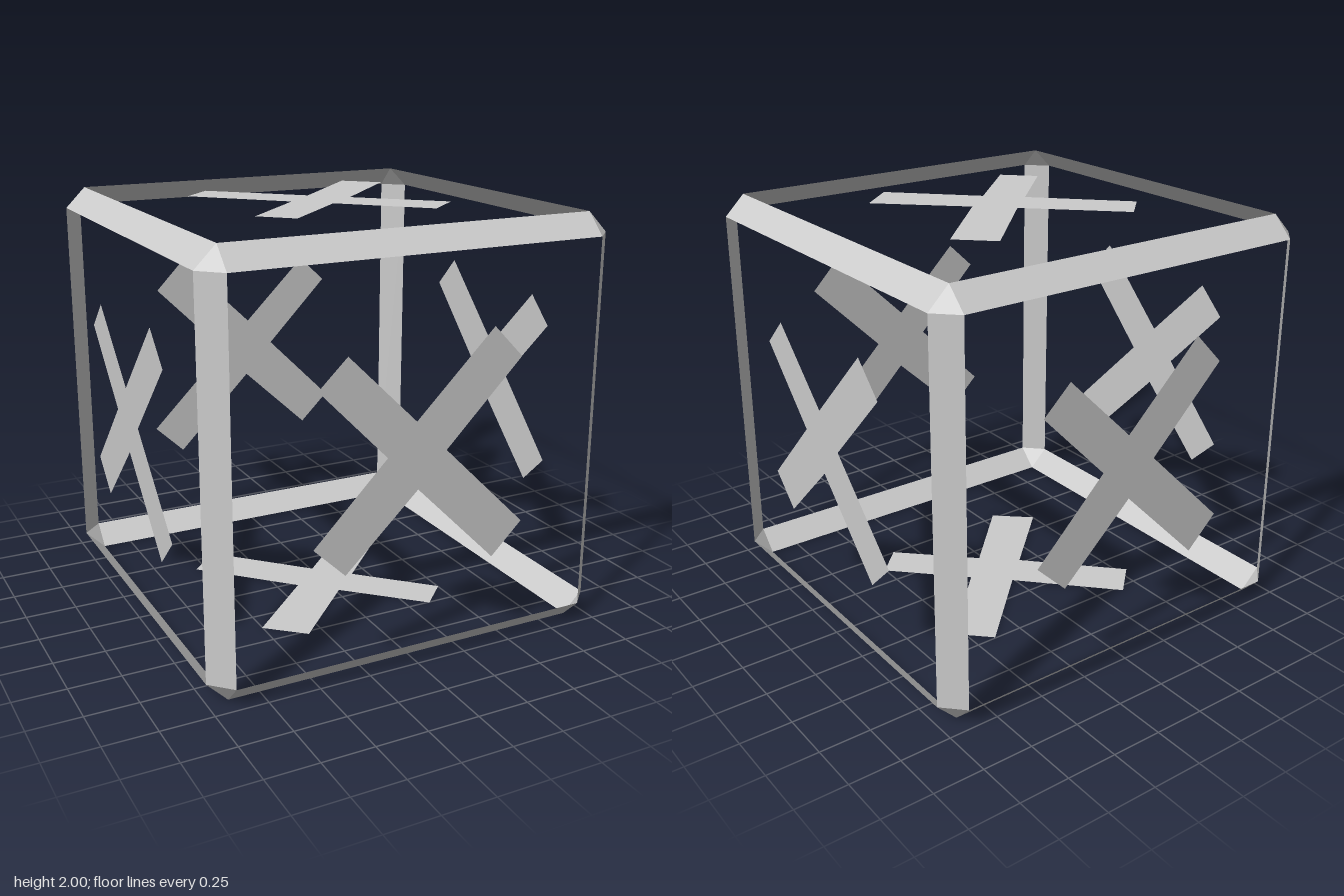
import * as THREE from 'three';

const material = new THREE.MeshStandardMaterial({
  color: 0xcccccc, flatShading: true, side: THREE.DoubleSide,
});

const HALF = 1;       // half size of the cube
const INNER = 0.9;    // half size of each face opening

// Flat, slightly uneven crosses: two end corners per arm, then the notch to the next arm
const sideCross = [
  [0.497, 0.4], [0.348, 0.553], [-0.037, 0.174],
  [-0.374, 0.505], [-0.513, 0.372], [-0.178, 0.03],
  [-0.535, -0.329], [-0.38, -0.479], [-0.023, -0.141],
  [0.38, -0.543], [0.535, -0.393], [0.118, 0.02],
];
const capCross = [
  [0.551, 0.388], [0.396, 0.537], [-0.01, 0.117],
  [-0.396, 0.495], [-0.545, 0.35], [-0.17, -0.035],
  [-0.503, -0.366], [-0.364, -0.505], [-0.02, -0.174],
  [0.326, -0.527], [0.503, -0.371], [0.145, -0.028],
];

function crossGeometry(points) {
  const shape = new THREE.Shape(points.map(([x, y]) => new THREE.Vector2(x, y)));
  return new THREE.ShapeGeometry(shape).translate(0, 0, HALF);
}

function addMesh(parent, geometry, name) {
  const mesh = new THREE.Mesh(geometry, material);
  mesh.name = name;
  parent.add(mesh);
  return mesh;
}

export function createModel() {
  const model = new THREE.Group();
  model.name = 'cubeFrameWithCrosses';
  const body = new THREE.Group();
  body.name = 'body';
  body.position.y = HALF;
  model.add(body);

  // Twelve bevelled edge strips: four around each axis
  const middle = (HALF + INNER) / 2;
  const strip = new THREE.PlaneGeometry(2 * INNER, (HALF - INNER) * Math.SQRT2)
    .rotateX(-Math.PI / 4).translate(0, middle, middle);
  const turns = { x: [0, 0, 0], y: [0, 0, Math.PI / 2], z: [0, Math.PI / 2, 0] };
  for (const [axis, turn] of Object.entries(turns)) {
    const edges = new THREE.Group();
    edges.name = `${axis}Edges`;
    edges.rotation.set(...turn);
    for (let i = 0; i < 4; i++) {
      addMesh(edges, strip, 'edgeStrip').rotation.x = i * Math.PI / 2;
    }
    body.add(edges);
  }

  // Eight triangular corner facets
  for (const x of [-1, 1]) for (const y of [-1, 1]) for (const z of [-1, 1]) {
    const corners = [
      new THREE.Vector3(x * HALF, y * INNER, z * INNER),
      new THREE.Vector3(x * INNER, y * HALF, z * INNER),
      new THREE.Vector3(x * INNER, y * INNER, z * HALF),
    ];
    if (x * y * z < 0) corners.reverse();
    const facet = new THREE.BufferGeometry().setFromPoints(corners);
    facet.computeVertexNormals();
    addMesh(body, facet, 'cornerFacet');
  }

  // One cross floating in each of the four side faces
  const side = crossGeometry(sideCross);
  ['frontCross', 'leftCross', 'backCross', 'rightCross'].forEach((name, i) => {
    addMesh(body, side, name).rotation.y = i * Math.PI / 2;
  });

  // Top and bottom crosses
  const cap = crossGeometry(capCross).rotateX(-Math.PI / 2);
  addMesh(body, cap, 'topCross');
  addMesh(body, cap, 'bottomCross').rotation.z = Math.PI;

  return model;
}
